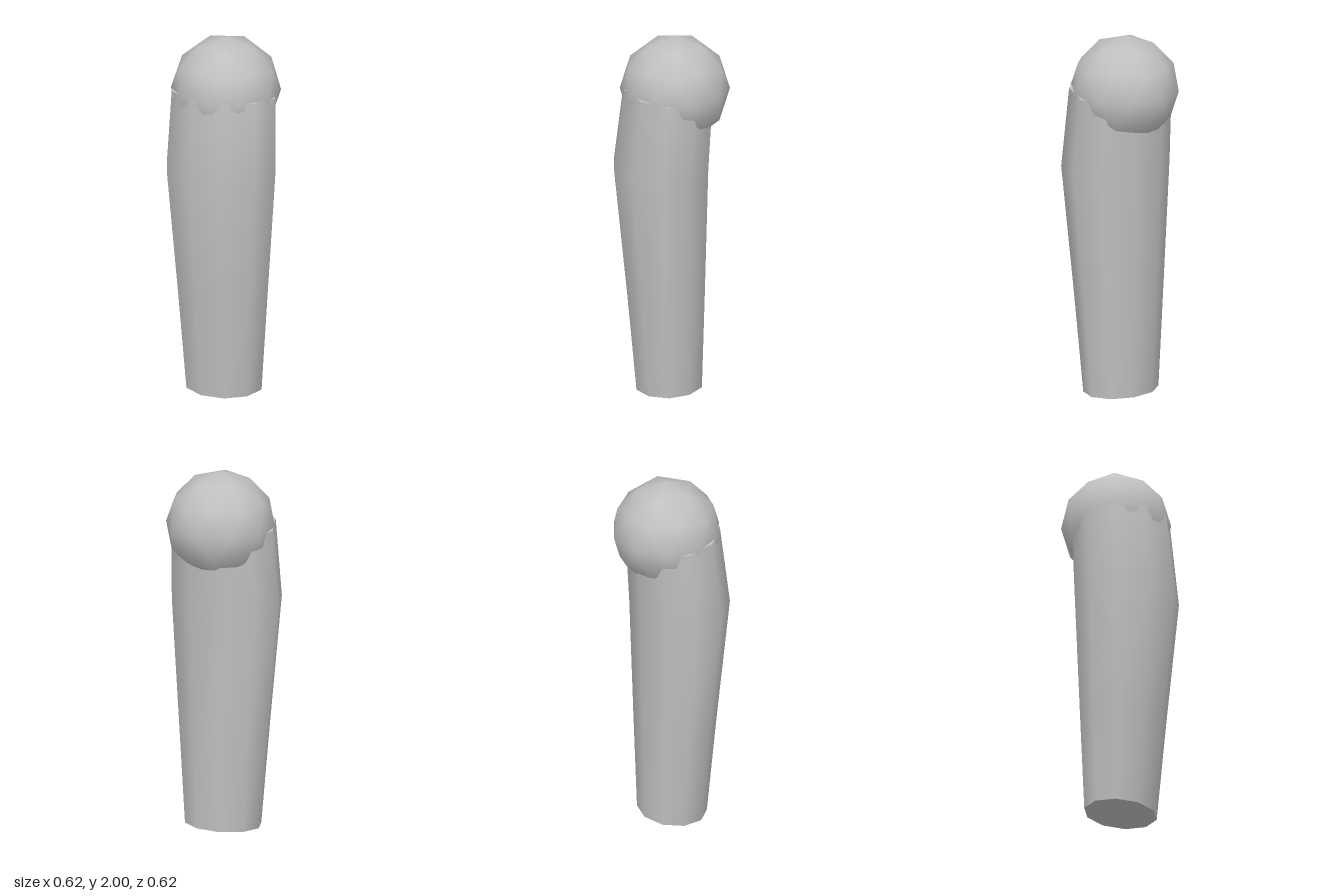
import * as THREE from 'three';

const SIDES = 10;

// Elliptical rings, bottom to top: height, centre z, half-width, half-depth, forward tilt
const RINGS = [
  { y: 0.007, z: 0.015, rx: 0.215, rz: 0.184, tilt: -0.04 },
  { y: 0.55, z: 0.032, rx: 0.255, rz: 0.218, tilt: 0 },
  { y: 1.27, z: 0.058, rx: 0.31, rz: 0.265, tilt: 0 },
  { y: 1.70, z: 0.019, rx: 0.295, rz: 0.248, tilt: 0.12 },
];

function ringPoint(ring, i) {
  const a = (i / SIDES) * Math.PI * 2;
  const dz = Math.sin(a) * ring.rz;
  return [Math.cos(a) * ring.rx, ring.y + dz * ring.tilt, ring.z + dz];
}

function build(points, index) {
  const g = new THREE.BufferGeometry();
  g.setAttribute('position', new THREE.Float32BufferAttribute(points.flat(), 3));
  g.setIndex(index);
  g.computeVertexNormals();
  return g;
}

// Smooth wall lofted through the rings
function wallGeometry() {
  const points = [], index = [];
  RINGS.forEach((ring, r) => {
    for (let i = 0; i < SIDES; i++) {
      points.push(ringPoint(ring, i));
      if (r === 0) continue;
      const j = (i + 1) % SIDES, lo = (r - 1) * SIDES, hi = r * SIDES;
      index.push(lo + i, hi + i, lo + j, lo + j, hi + i, hi + j);
    }
  });
  return build(points, index);
}

// Flat end closing one ring
function capGeometry(ring, up) {
  const points = [], index = [];
  for (let i = 0; i < SIDES; i++) points.push(ringPoint(ring, i));
  for (let i = 1; i < SIDES - 1; i++) index.push(0, ...(up ? [i + 1, i] : [i, i + 1]));
  return build(points, index);
}

export function createModel() {
  const group = new THREE.Group();
  group.name = 'limbSegment';
  const grey = new THREE.MeshStandardMaterial({ color: 0xc0c0c0 });
  grey.name = 'grey';

  const add = (name, geometry) => {
    const mesh = new THREE.Mesh(geometry, grey);
    mesh.name = name;
    group.add(mesh);
    return mesh;
  };

  // Tapered shaft with closed ends
  add('shaft', wallGeometry());
  add('bottomCap', capGeometry(RINGS[0], false));
  add('topCap', capGeometry(RINGS[RINGS.length - 1], true));

  // Ball joint: icosphere turned so one of its corners points straight up
  const ball = new THREE.IcosahedronGeometry(0.295, 1);
  ball.rotateZ(-Math.atan(2 / (1 + Math.sqrt(5))));
  add('ballJoint', ball).position.set(0, 1.705, -0.015);

  return group;
}
